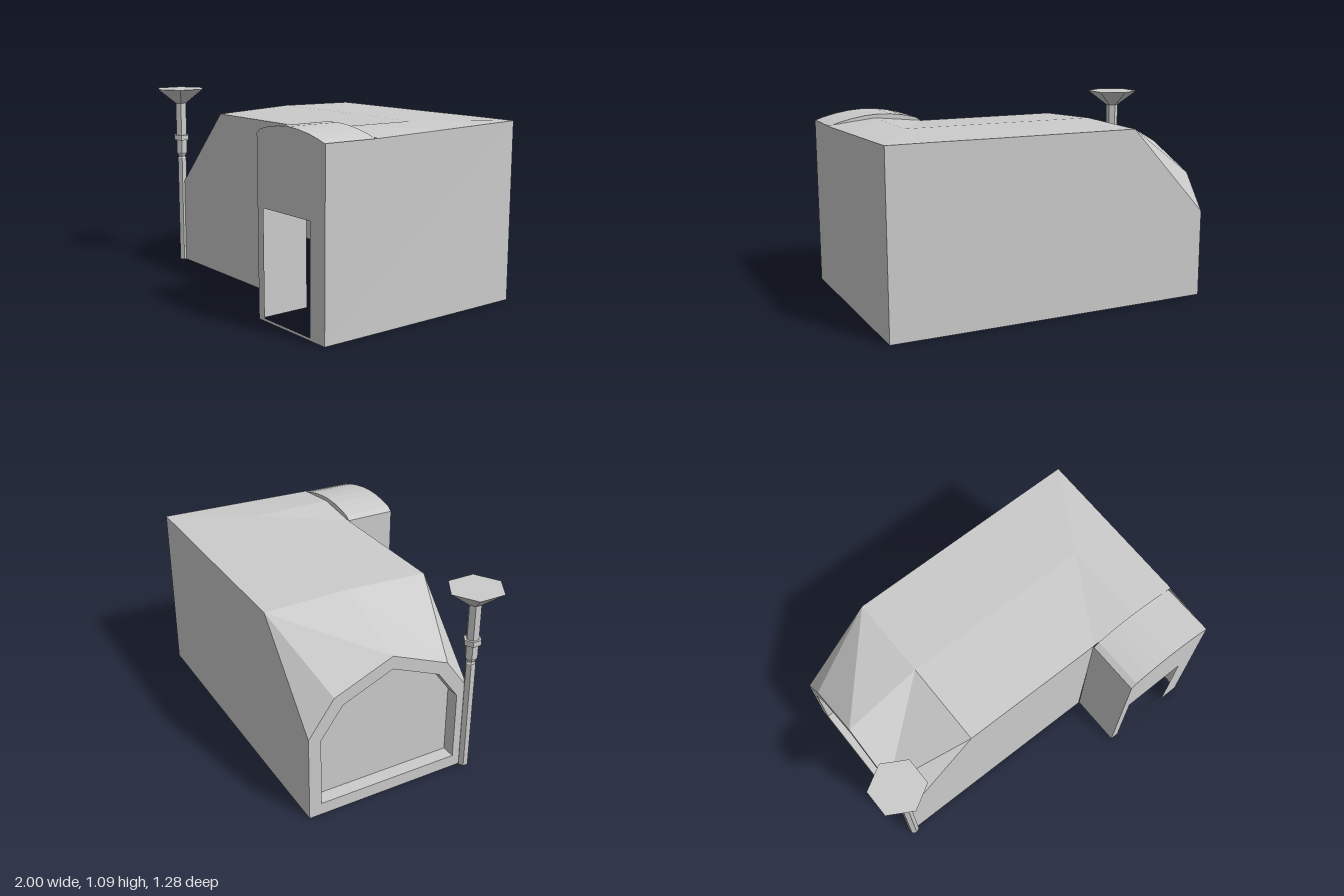
import * as THREE from 'three';

const shell = new THREE.MeshStandardMaterial({ color: 0xcccccc, side: THREE.DoubleSide, flatShading: true });
const solid = new THREE.MeshStandardMaterial({ color: 0xcccccc, flatShading: true });

// Flat faces from corner loops given counter-clockwise as seen from outside.
function faces(name, loops) {
  const pos = [];
  const v = p => new THREE.Vector3(...p);
  for (const loop of loops) {
    for (let i = 1; i < loop.length - 1; i++) {
      const tri = new THREE.Triangle(v(loop[0]), v(loop[i]), v(loop[i + 1]));
      if (tri.getArea() < 1e-6) continue;
      for (const p of [loop[0], loop[i], loop[i + 1]]) pos.push(...p);
    }
  }
  const g = new THREE.BufferGeometry();
  g.setAttribute('position', new THREE.Float32BufferAttribute(pos, 3));
  g.computeVertexNormals();
  const m = new THREE.Mesh(g, shell);
  m.name = name;
  return m;
}

// Quads between two matching rows of points.
const strip = (a, b) => a.slice(1).map((_, i) => [a[i], b[i], b[i + 1], a[i + 1]]);

const shapeOf = pts => new THREE.Shape(pts.map(p => new THREE.Vector2(...p)));

// A flat plate facing -x, drawn in (z, y).
function endPlate(name, shape, x, material) {
  const m = new THREE.Mesh(new THREE.ShapeGeometry(shape).rotateY(-Math.PI / 2).translate(x, 0, 0), material);
  m.name = name;
  return m;
}

// Square house section running front to back over the roof.
const section = (x, zf, zb, yf, yr, yb) => [
  [x, 0, zf], [x, yf, zf], [x, yf, zf], [x, yr, (zf + zb) / 2], [x, yb, zb], [x, yb, zb], [x, 0, zb],
];

export function createModel() {
  const root = new THREE.Group();
  root.name = 'house';

  // Main body: square sections that narrow to a faceted arch at the left-hand end
  const endX = -0.86, endZ = -0.165;
  const arch = [[0.48, 0], [0.48, 0.49], [0.335, 0.69], [0, 0.83], [-0.335, 0.69], [-0.48, 0.49], [-0.48, 0]]
    .map(([z, y]) => [z + endZ, y]);
  const sections = [
    arch.map(([z, y]) => [endX, y, z]),
    section(-0.4, 0.32, -0.643, 0.97, 0.993, 0.985),
    section(0.44, 0.33, -0.636, 0.97, 0.995, 0.988),
    section(0.72, 0.333, -0.633, 1.0, 0.995, 0.99),
    section(1, 0.335, -0.63, 0.97, 0.98, 0.99),
  ];
  const body = [];
  for (let i = 0; i < sections.length - 1; i++) {
    const quads = strip(sections[i], sections[i + 1]);
    body.push(...(i >= 2 ? quads.slice(1) : quads)); // open towards the porch
  }
  root.add(faces('wallsAndRoof', body));
  root.add(faces('sideWall', [
    [[0.985, 0, 0.64], [1, 0, -0.63], [1, 0.99, -0.63], [0.995, 0.97, 0.335], [0.985, 0.97, 0.64]],
  ]));

  // Arched end window: frame, reveal and recessed panel
  const inner = [[0.41, 0.07], [0.41, 0.465], [0.285, 0.635], [0, 0.755], [-0.285, 0.635], [-0.41, 0.465], [-0.41, 0.07]]
    .map(([z, y]) => [z + endZ, y]);
  const frame = shapeOf(arch);
  frame.holes.push(shapeOf(inner));
  root.add(endPlate('windowFrame', frame, endX, shell));
  root.add(endPlate('windowPanel', shapeOf(inner), endX + 0.08, solid));
  const ring = x => [...inner, inner[0]].map(([z, y]) => [x, y, z]);
  root.add(faces('windowReveal', strip(ring(endX + 0.08), ring(endX))));

  // Porch: vaulted roof, side wall and front wall with a doorway
  const porch = new THREE.Group();
  porch.name = 'porch';
  const vault = [[0.437, 0.967], [0.47, 0.99], [0.54, 1.007], [0.62, 1.018], [0.7, 1.021],
    [0.78, 1.015], [0.86, 1.002], [0.93, 0.985], [0.985, 0.967]];
  const vaultAt = z => vault.map(([x, y]) => [x, y, z]);
  porch.add(faces('porchRoof', [...strip(vaultAt(0.64), vaultAt(0.335)).map(q => q.reverse()), vaultAt(0.335)]));
  porch.add(faces('porchSideWall', [
    [[0.445, 0, 0.33], [0.445, 0, 0.64], [0.437, 0.967, 0.64], [0.437, 0.967, 0.33]],
  ]));
  const front = shapeOf([[0.445, 0], [0.985, 0], ...vault.slice().reverse()]);
  front.holes.push(shapeOf([[0.495, 0.015], [0.49, 0.59], [0.87, 0.59], [0.87, 0.015]]));
  const wall = new THREE.Mesh(new THREE.ShapeGeometry(front).translate(0, 0, 0.64), shell);
  wall.name = 'porchFrontWall';
  porch.add(wall);
  root.add(porch);

  // Six-sided stove pipe with a collar and a flared cap
  const profile = [[0, 0], [0.029, 0], [0.029, 0.655], [0.022, 0.665], [0.029, 0.68], [0.036, 0.69], [0.036, 0.77],
    [0.05, 0.77], [0.05, 0.8], [0.036, 0.8], [0.036, 1.0], [0.155, 1.09], [0, 1.09]];
  const pipe = new THREE.Mesh(new THREE.LatheGeometry(profile.map(p => new THREE.Vector2(...p)), 6), solid);
  pipe.name = 'stovePipe';
  pipe.position.set(-0.866, 0, 0.315);
  root.add(pipe);

  return root;
}
